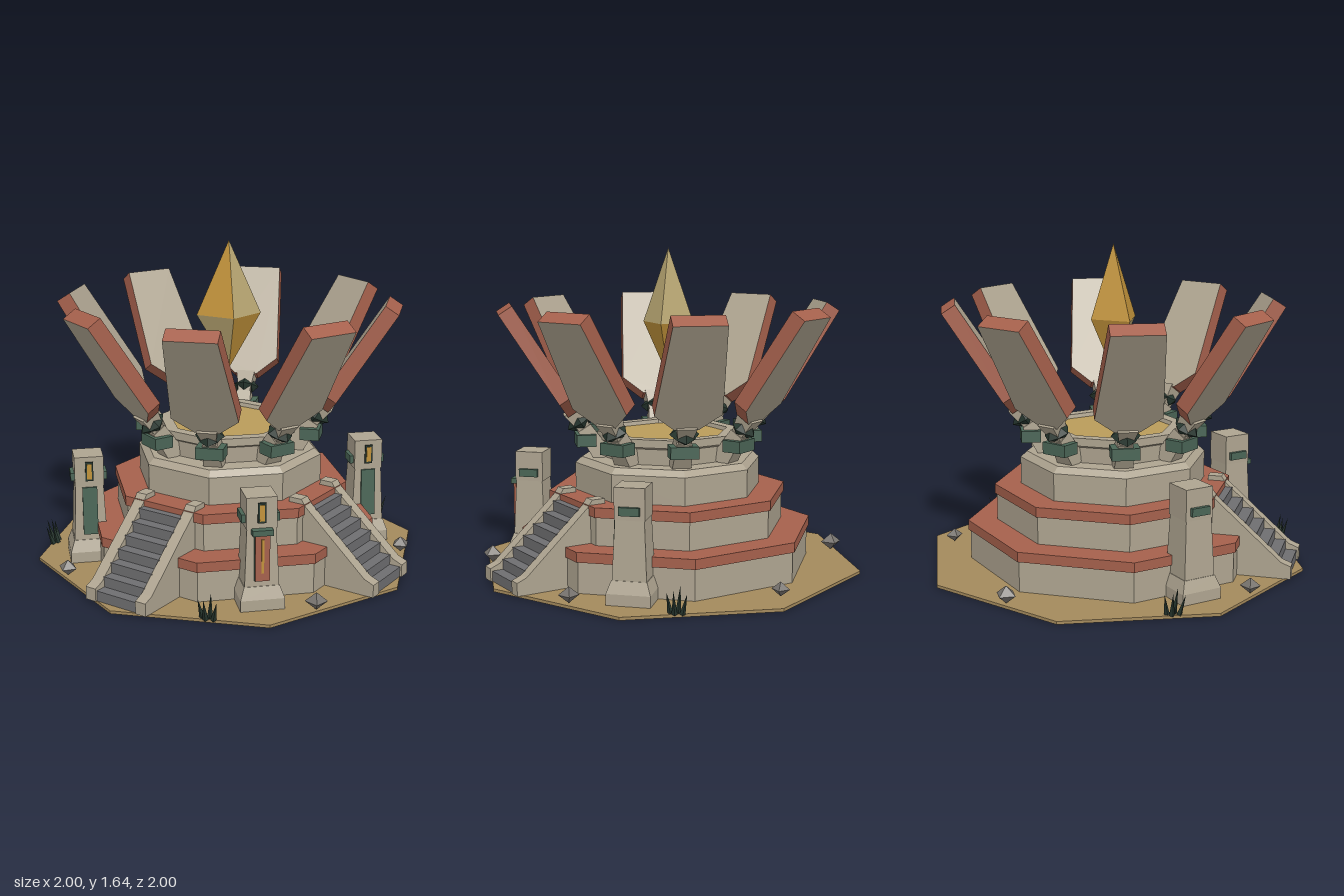
import * as THREE from 'three';

const mat = (color) => new THREE.MeshStandardMaterial({ color, flatShading: true });
const stone = mat(0xaea490), red = mat(0xa5604c), sand = mat(0xa3895c), green = mat(0x4a6556),
  darkGreen = mat(0x26362e), stepGrey = mat(0x6e6e70), gold = mat(0xc0923a), paleGold = mat(0xb8a672),
  floorGold = mat(0xb99b5a), rockGrey = mat(0x77736e);
const OCT = Math.cos(Math.PI / 8);

function add(parent, name, geometry, material, x = 0, y = 0, z = 0) {
  const m = new THREE.Mesh(geometry, material);
  m.name = name;
  m.position.set(x, y, z);
  parent.add(m);
  return m;
}

function group(parent, name, x = 0, y = 0, z = 0, turn = 0) {
  const g = new THREE.Group();
  g.name = name;
  g.position.set(x, y, z);
  g.rotation.y = turn;
  parent.add(g);
  return g;
}

const box = (w, h, d) => new THREE.BoxGeometry(w, h, d);
const shape = (pts) => new THREE.Shape(pts.map(([x, y]) => new THREE.Vector2(x, y)));

// Octagonal ring with flat sides facing the axes; profile is [apothem, y] from bottom to top
const octagon = (profile) => new THREE.LatheGeometry(
  profile.map(([a, y]) => new THREE.Vector2(a / OCT, y)), 8, Math.PI / 8);

// Square tapered block standing on y = 0
function taper(bottom, top, h) {
  const g = new THREE.CylinderGeometry(top * Math.SQRT1_2, bottom * Math.SQRT1_2, h, 4);
  return g.rotateY(Math.PI / 4).translate(0, h / 2, 0);
}

// One half of the floating crystal: a triangle per quadrant
function crystalFace(sx, sz, tipY) {
  const a = [sx * 0.165, 1.265, 0], b = [0, 1.265, sz * 0.13], tip = [0, tipY, 0];
  const flip = (sx * sz > 0) !== (tipY > 1.265);
  const g = new THREE.BufferGeometry();
  g.setAttribute('position', new THREE.Float32BufferAttribute((flip ? [a, b, tip] : [b, a, tip]).flat(), 3));
  g.computeVertexNormals();
  return g;
}

function addPetal(root, angle) {
  const arm = group(root, 'petalArm', 0, 0, 0, angle);
  const tilt = 0.577;
  // Slab: stone faces with red edges
  const outline = shape([[-0.06, 0], [0.06, 0], [0.165, 0.095], [0.127, 0.63], [-0.127, 0.63], [-0.165, 0.095]]);
  const slab = add(arm, 'petal', new THREE.ExtrudeGeometry(outline, { depth: 0.08, bevelEnabled: false }),
    [stone, red], 0, 0.835, 0.455);
  slab.rotation.x = tilt;
  // Leaning post with clamp and spiked collar
  const post = group(arm, 'petalPost', 0, 0.58, 0.34);
  post.rotation.x = tilt;
  add(post, 'post', taper(0.1, 0.075, 0.18), stone);
  add(post, 'postHead', taper(0.06, 0.1, 0.12), stone, 0, 0.17, 0);
  add(arm, 'clamp', box(0.14, 0.06, 0.1), green, 0, 0.67, 0.43);
  for (let i = 0; i < 4; i++) {
    const side = group(post, 'collarSide', 0, 0.215, 0, i * Math.PI / 2);
    const spike = add(side, 'collarSpike', new THREE.OctahedronGeometry(0.042), darkGreen, 0, 0, 0.04);
    spike.scale.set(1.1, 0.8, 0.8);
  }
}

function addPillar(root, x, z, banner) {
  const p = group(root, 'pillar', x, 0.015, z);
  add(p, 'pillarFoot', box(0.214, 0.055, 0.214), stone, 0, 0.0275, 0);
  add(p, 'pillarFootSlope', taper(0.214, 0.172, 0.06), stone, 0, 0.055, 0);
  add(p, 'pillarShaft', taper(0.168, 0.14, 0.32), stone, 0, 0.1, 0);
  add(p, 'pillarHead', box(0.148, 0.155, 0.148), stone, 0, 0.478, 0);
  add(p, 'sideBracket', box(0.185, 0.04, 0.1), green, 0, 0.445, 0);
  add(p, 'lampFrame', box(0.04, 0.1, 0.015), darkGreen, 0, 0.48, 0.074);
  add(p, 'lamp', box(0.024, 0.08, 0.012), gold, 0, 0.48, 0.079);
  const panel = add(p, 'frontPanel', box(0.075, 0.25, 0.02), green, 0, 0.27, 0.077);
  panel.rotation.x = -0.04;
  if (banner) {
    add(p, 'bannerRail', box(0.1, 0.028, 0.05), green, 0, 0.39, 0.085);
    add(p, 'banner', box(0.07, 0.23, 0.014), red, 0, 0.262, 0.093);
    add(p, 'bannerStripe', box(0.012, 0.17, 0.006), gold, 0, 0.272, 0.101);
  }
}

function addStairs(root, angle) {
  const s = group(root, 'stairs', 0, 0, 0, angle);
  const n = 7, rise = 0.365 / n, run = 0.4 / n;
  for (let i = 0; i < n; i++) {
    const h = rise * (n - i), depth = 0.1 + run;
    add(s, 'step', box(0.25, h, depth), stepGrey, 0, 0.015 + h / 2, 0.55 + run * (i + 1) - depth / 2);
  }
  // Sloping side walls
  const profile = shape([[0.48, 0.015], [0.96, 0.015], [0.96, 0.08], [0.91, 0.1], [0.575, 0.4], [0.55, 0.435], [0.48, 0.435]]);
  for (const side of [-1, 1]) {
    const g = new THREE.ExtrudeGeometry(profile, { depth: 0.06, bevelEnabled: false });
    g.translate(0, 0, -0.03).rotateY(-Math.PI / 2);
    add(s, 'stairWall', g, stone, side * 0.15, 0, 0);
  }
}

export function createModel() {
  const root = new THREE.Group();
  root.name = 'shrine';

  // Ground plate and stepped tiers
  add(root, 'ground', new THREE.CylinderGeometry(1, 1, 0.015, 8), sand, 0, 0.0075, 0);
  add(root, 'lowerTierWall', octagon([[0.69, 0.015], [0.69, 0.17]]), stone);
  add(root, 'lowerTierBand', octagon([[0.69, 0.17], [0.7, 0.17], [0.7, 0.22], [0.5, 0.22]]), red);
  add(root, 'middleTierWall', octagon([[0.56, 0.22], [0.56, 0.36]]), stone);
  add(root, 'middleTierBand', octagon([[0.56, 0.36], [0.57, 0.36], [0.57, 0.41], [0.4, 0.41]]), red);
  add(root, 'upperTier', octagon([[0.445, 0.41], [0.445, 0.55], [0.415, 0.58], [0.25, 0.58]]), stone);
  add(root, 'basinRim', octagon([[0.32, 0.58], [0.325, 0.66], [0.34, 0.67], [0.34, 0.71], [0.285, 0.71], [0.28, 0.69]]), stone);
  add(root, 'basinFloor', octagon([[0.285, 0.69], [0, 0.69]]), floorGold);

  // Floating crystal
  const crystal = group(root, 'crystal');
  for (const sx of [-1, 1]) for (const sz of [-1, 1]) {
    add(crystal, 'crystalTop', crystalFace(sx, sz, 1.64), sx > 0 ? paleGold : gold);
    add(crystal, 'crystalBottom', crystalFace(sx, sz, 0.98), sx < 0 && sz > 0 ? paleGold : gold);
  }

  for (let i = 0; i < 8; i++) addPetal(root, (i + 0.5) * Math.PI / 4);
  addPillar(root, 0, 0.735, true);
  addPillar(root, -0.735, 0, false);
  addPillar(root, 0.735, 0, false);
  addStairs(root, Math.PI / 4);
  addStairs(root, -Math.PI / 4);

  // Scattered rocks: x, z, radius
  [[-0.39, -0.81, 0.055], [0.55, -0.67, 0.045], [-0.87, 0.26, 0.05], [0.86, 0.28, 0.05], [0.25, 0.88, 0.055]]
    .forEach(([x, z, r], i) => {
      const rock = add(root, 'rock', new THREE.OctahedronGeometry(r), rockGrey, x, 0.06, z);
      rock.rotation.y = 0.5 + i;
      rock.scale.y = 0.8;
    });

  // Tufts of pointed blades: x, z
  for (const [x, z] of [[-0.9, -0.2], [0.89, -0.24], [-0.27, 0.88]]) {
    const tuft = group(root, 'tuft', x, 0.015, z, Math.atan2(x, z));
    for (let i = 0; i < 4; i++) {
      const h = 0.11 + 0.015 * (i % 3);
      const blade = add(tuft, 'blade', new THREE.ConeGeometry(0.014, h, 4).translate(0, h / 2, 0), darkGreen,
        (i - 1.5) * 0.018, 0, (i % 2) * 0.02 - 0.01);
      blade.rotation.set(0.2 + 0.1 * (i % 2), 0, (1.5 - i) * 0.12);
    }
  }
  return root;
}
